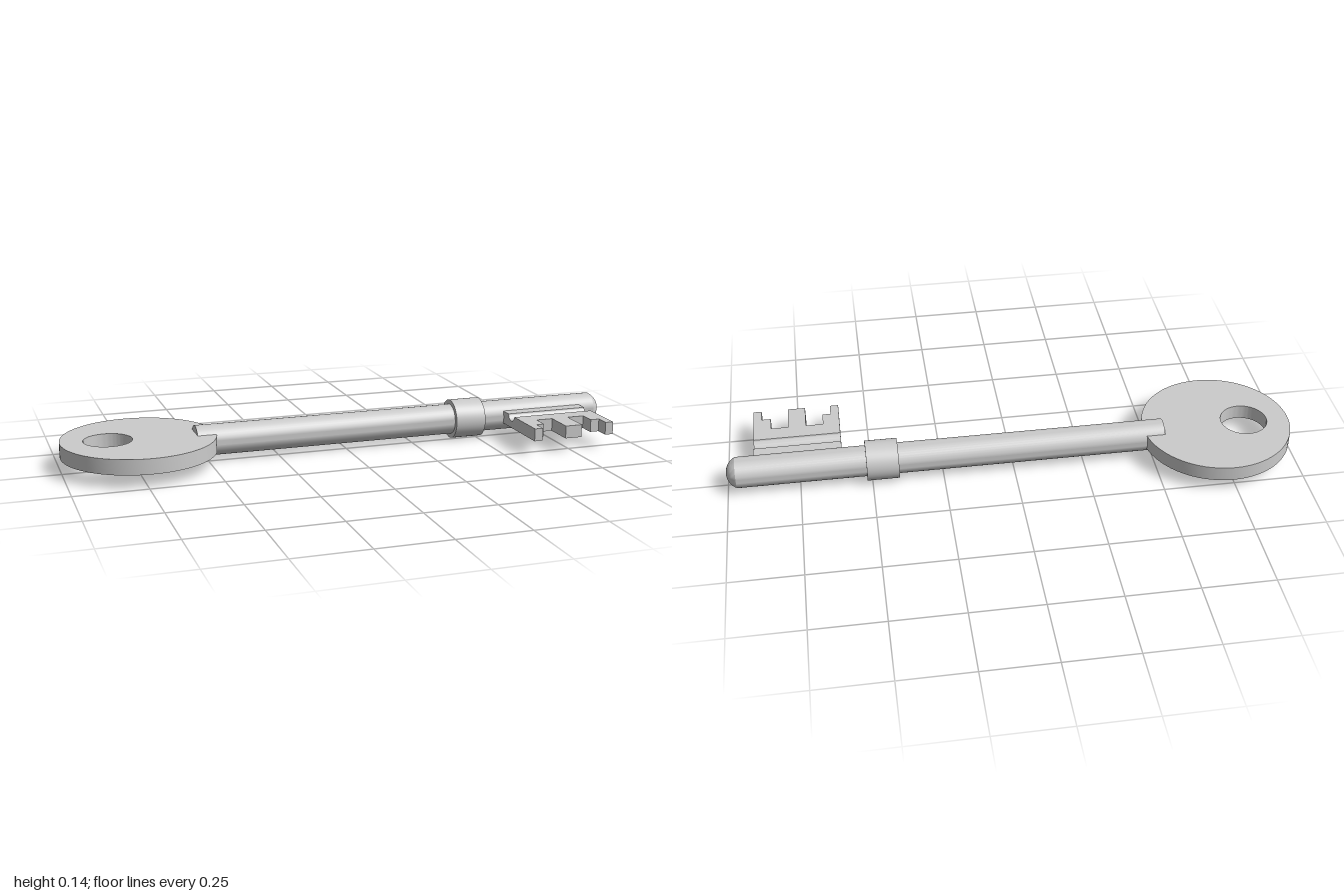
import * as THREE from 'three';
import { toCreasedNormals } from 'three/addons/utils/BufferGeometryUtils.js';

const AXIS_Y = 0.071, AXIS_Z = -0.023;
const material = new THREE.MeshStandardMaterial({ color: 0xcccccc });

function part(name, geometry) {
  const mesh = new THREE.Mesh(toCreasedNormals(geometry, 0.4), material);
  mesh.name = name;
  return mesh;
}

// Plate lying flat: the shape is drawn in (x, -z) and thickened upwards
function plate(shape, y0, y1, curveSegments = 24) {
  return new THREE.ExtrudeGeometry(shape, { depth: y1 - y0, bevelEnabled: false, curveSegments })
    .rotateX(-Math.PI / 2).translate(0, y0, 0);
}

export function createModel() {
  const key = new THREE.Group();
  key.name = 'key';

  // Round bow with an off-centre ring hole
  const bow = new THREE.Shape().absarc(-0.735, -AXIS_Z, 0.265, 0, Math.PI * 2);
  bow.holes.push(new THREE.Path().absarc(-0.839, -AXIS_Z, 0.083, 0, Math.PI * 2, true));
  key.add(part('bow', plate(bow, 0.047, 0.1, 40)));

  // Shank: flat end inside the bow, shallow spherical dome at the tip
  const r = 0.054, rise = 0.034;
  const R = (r * r + rise * rise) / (2 * rise), open = Math.asin(r / R);
  const profile = [new THREE.Vector2(0, -0.54), new THREE.Vector2(r, -0.54)];
  for (let i = 0; i <= 8; i++) {
    const a = open * (1 - i / 8);
    profile.push(new THREE.Vector2(i === 8 ? 0 : R * Math.sin(a), 1 - R + R * Math.cos(a)));
  }
  const shank = part('shank', new THREE.LatheGeometry(profile, 40).rotateZ(-Math.PI / 2));
  shank.position.set(0, AXIS_Y, AXIS_Z);
  key.add(shank);

  // Collar
  const collar = part('collar', new THREE.CylinderGeometry(0.07, 0.07, 0.112, 40).rotateZ(-Math.PI / 2));
  collar.position.set(0.462, AXIS_Y, AXIS_Z);
  key.add(collar);

  // Bit: grooved root swept along x, profile drawn in (-z, y)
  const x0 = 0.598, x1 = 0.904, y0 = 0.051, y1 = 0.096, zJoin = 0.15;
  const grooveR = 0.0256, grooveY = 0.1016, dip = Math.asin((grooveY - y1) / grooveR);
  const root = new THREE.Shape();
  root.moveTo(-zJoin, y0);
  root.lineTo(0, y0);
  root.lineTo(0, y1);
  root.absarc(-0.095, grooveY, grooveR, -dip, -Math.PI + dip, true);
  root.lineTo(-zJoin, y1);
  root.closePath();
  const bit = new THREE.Group();
  bit.name = 'bit';
  bit.add(part('bitRoot', new THREE.ExtrudeGeometry(root, { depth: x1 - x0, bevelEnabled: false, curveSegments: 16 })
    .rotateY(Math.PI / 2).translate(x0, 0, 0)));

  // Stepped wards, as pairs of right edge and reach in z
  const wards = new THREE.Shape();
  wards.moveTo(x1, -zJoin);
  wards.lineTo(x0, -zJoin);
  let x = x0;
  for (const [right, reach] of [[0.628, 0.288], [0.657, 0.238], [0.718, 0.18], [0.78, 0.288],
    [0.842, 0.18], [0.874, 0.238], [x1, 0.288]]) {
    wards.lineTo(x, -reach);
    wards.lineTo(right, -reach);
    x = right;
  }
  wards.closePath();
  bit.add(part('wards', plate(wards, y0, y1)));
  key.add(bit);

  return key;
}
